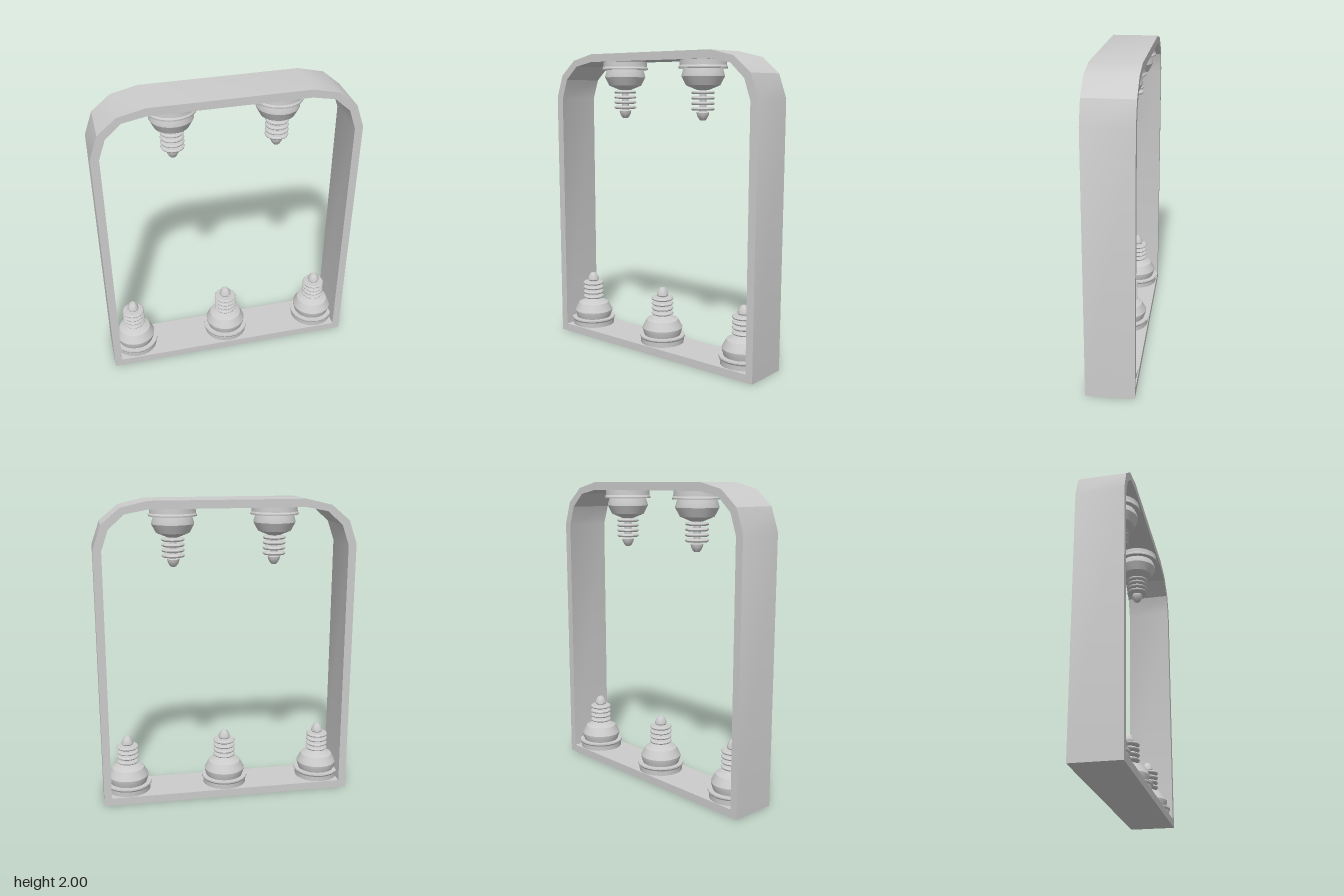
import * as THREE from 'three';
import { toCreasedNormals } from 'three/addons/utils/BufferGeometryUtils.js';

const material = new THREE.MeshStandardMaterial({ color: 0xcccccc });

// Mirror the right half of an outline to make a closed loop
function mirrored(half) {
  const left = half.map(([x, y]) => [-x, y]).reverse();
  return [...half, ...left].map(([x, y]) => new THREE.Vector2(x, y));
}

// Arch-topped band with chamfered upper corners
function createFrame() {
  const depth = 0.308;
  const shape = new THREE.Shape(mirrored([
    [0.838, 0], [0.843, 1.71], [0.79, 1.86], [0.67, 1.96], [0.5, 2],
  ]));
  shape.holes.push(new THREE.Path(mirrored([
    [0.788, 0.052], [0.79, 1.7], [0.745, 1.83], [0.645, 1.92], [0.5, 1.948],
  ])));
  const geometry = new THREE.ExtrudeGeometry(shape, { depth, bevelEnabled: false });
  geometry.translate(0, 0, -depth / 2);
  const mesh = new THREE.Mesh(toCreasedNormals(geometry, 0.5), material);
  mesh.name = 'frame';
  return mesh;
}

function turned(name, points) {
  const profile = points.map(([r, y]) => new THREE.Vector2(r, y));
  const geometry = toCreasedNormals(new THREE.LatheGeometry(profile, 24), 0.5);
  const mesh = new THREE.Mesh(geometry, material);
  mesh.name = name;
  return mesh;
}

// Turned post standing on y = 0: flange, bell, ribbed stem and cap
function createInsulator() {
  const group = new THREE.Group();
  group.add(turned('flange', [
    [0, 0], [0.147, 0], [0.149, 0.035], [0.156, 0.046], [0.155, 0.055], [0, 0.057],
  ]));
  group.add(turned('bell', [
    [0.122, 0.05], [0.126, 0.062], [0.136, 0.095], [0.137, 0.105],
    [0.108, 0.16], [0.04, 0.188], [0, 0.188],
  ]));
  group.add(turned('stem', [[0.023, 0.18], [0.023, 0.33]]));
  for (let i = 0; i < 4; i++) {
    const y = 0.204 + i * 0.034;
    group.add(turned('rib', [
      [0, y - 0.01], [0.066, y - 0.01], [0.072, y - 0.006], [0.075, y],
      [0.072, y + 0.006], [0.066, y + 0.01], [0, y + 0.01],
    ]));
  }
  group.add(turned('cap', [
    [0, 0.323], [0.036, 0.323], [0.04, 0.33], [0.037, 0.347],
    [0.026, 0.368], [0.017, 0.378], [0, 0.38],
  ]));
  return group;
}

export function createModel() {
  const model = new THREE.Group();
  model.add(createFrame());

  // Three posts on the floor
  for (const x of [-0.666, 0, 0.666]) {
    const post = createInsulator();
    post.name = 'lowerInsulator';
    post.position.set(x, 0.05, -0.002);
    model.add(post);
  }
  // Two posts hanging from the top
  for (const x of [-0.332, 0.332]) {
    const post = createInsulator();
    post.name = 'upperInsulator';
    post.rotation.x = Math.PI;
    post.position.set(x, 1.95, -0.002);
    model.add(post);
  }
  return model;
}
